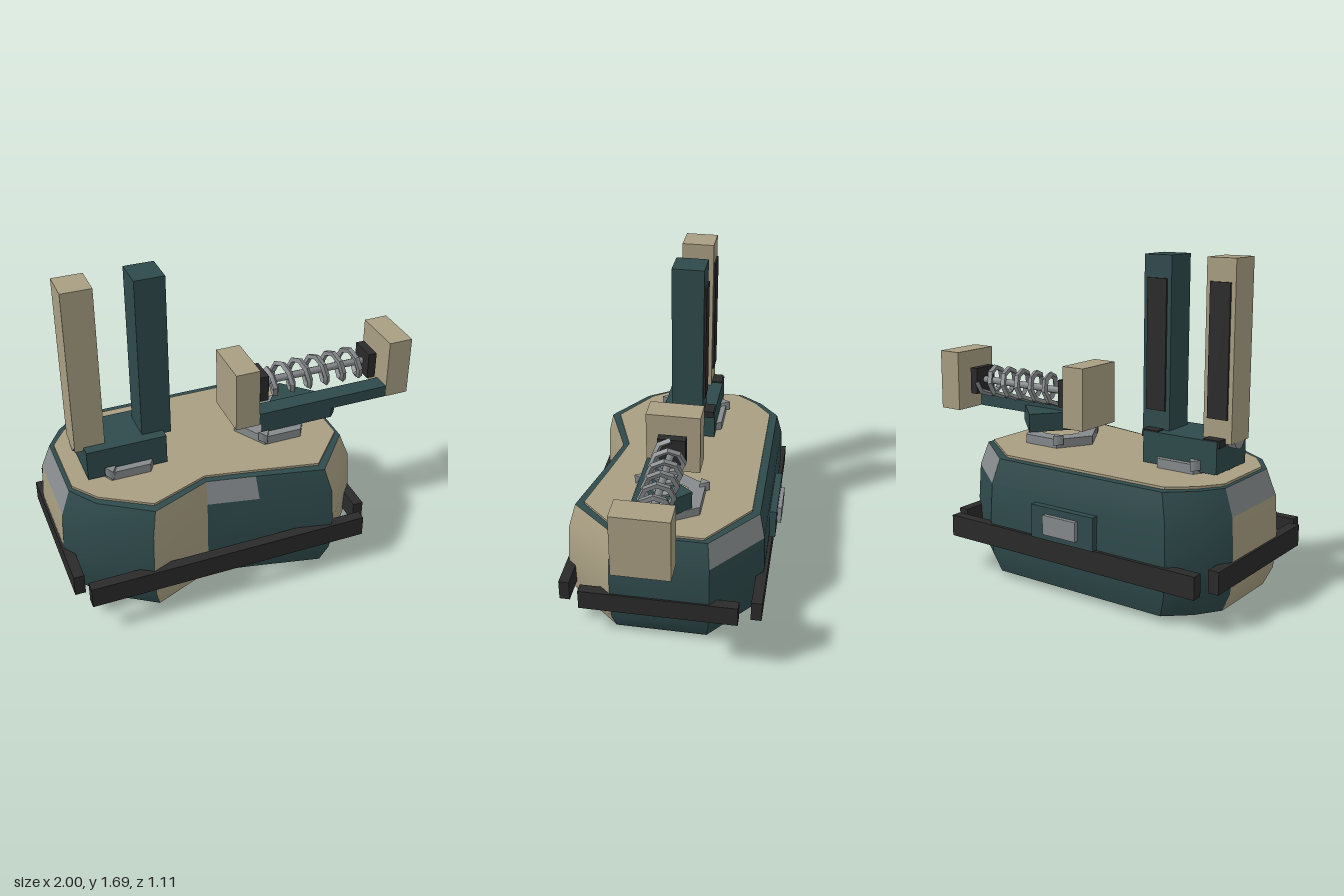
import * as THREE from 'three';
import { toCreasedNormals } from 'three/addons/utils/BufferGeometryUtils.js';

const mat = (name, color) => {
  const m = new THREE.MeshStandardMaterial({ color });
  m.name = name;
  return m;
};

export function createModel() {
  const root = new THREE.Group();
  root.name = 'model';
  const tan = mat('tan', 0xa89e82), teal = mat('dark teal', 0x2f4a4c);
  const grey = mat('grey', 0x868a8c), black = mat('black', 0x2a2a2a);

  const add = (name, geo, material, parent = root) => {
    const mesh = new THREE.Mesh(geo, material);
    mesh.name = name;
    parent.add(mesh);
    return mesh;
  };
  // Box given by its low and high limits on each axis
  const box = (name, material, [x0, x1], [y0, y1], [z0, z1], parent) => {
    const mesh = add(name, new THREE.BoxGeometry(x1 - x0, y1 - y0, z1 - z0), material, parent);
    mesh.position.set((x0 + x1) / 2, (y0 + y1) / 2, (z0 + z1) / 2);
    return mesh;
  };
  // Upright prism over an x,z polygon, with an optional hole
  const prism = (name, material, pts, y0, y1, hole, parent) => {
    const flip = (list) => list.map(([x, z]) => new THREE.Vector2(x, -z));
    const shape = new THREE.Shape(flip(pts));
    if (hole) shape.holes.push(new THREE.Path(flip(hole)));
    const geo = new THREE.ExtrudeGeometry(shape, { depth: y1 - y0, bevelEnabled: false });
    geo.rotateX(-Math.PI / 2).translate(0, y0, 0);
    return add(name, geo, material, parent);
  };
  const hexagon = (cx, cz, r) => Array.from({ length: 6 }, (_, i) =>
    [cx + r * Math.cos(i * Math.PI / 3), cz + r * Math.sin(i * Math.PI / 3)]);

  // Body outline (x, z), with the colour of the wall and of its top band
  const walls = [
    [-0.61, 0.54, tan, tan], [-0.27, 0.4, teal, grey], [0, 0.455, teal, teal],
    [0.38, 0.54, tan, tan], [0.61, 0.27, teal, teal], [0.61, -0.25, teal, grey],
    [0.3, -0.5, teal, teal], [-0.77, -0.5, teal, teal], [-0.9, -0.385, teal, teal],
    [-0.99, -0.25, tan, grey], [-0.99, 0.2, teal, teal], [-0.88, 0.36, teal, teal],
  ];
  const CX = -0.19;
  const scaled = (sx, sz = sx) => walls.map(([x, z]) => [CX + (x - CX) * sx, z * sz]);
  const profile = [[0.03, 0.925], [0.13, 0.985], [0.32, 1], [0.51, 0.985], [0.64, 0.925]];

  // Bulging walls, one mesh for each colour
  const buckets = new Map([[tan, []], [teal, []], [grey, []]]);
  for (let b = 0; b < profile.length - 1; b++) {
    const [y0, s0] = profile[b], [y1, s1] = profile[b + 1];
    const low = scaled(s0), high = scaled(s1);
    walls.forEach((w, i) => {
      const j = (i + 1) % walls.length;
      const A = [low[i][0], y0, low[i][1]], B = [low[j][0], y0, low[j][1]];
      const C = [high[j][0], y1, high[j][1]], D = [high[i][0], y1, high[i][1]];
      buckets.get(b === profile.length - 2 ? w[3] : w[2]).push(...A, ...B, ...C, ...A, ...C, ...D);
    });
  }
  for (const [material, pos] of buckets) {
    const geo = new THREE.BufferGeometry();
    geo.setAttribute('position', new THREE.Float32BufferAttribute(pos, 3));
    add('bodyWalls', toCreasedNormals(geo, 0.6), material);
  }
  prism('bodyRim', teal, scaled(0.925), 0.63, 0.64);
  prism('bodyFloor', teal, scaled(0.925), 0.03, 0.04);
  prism('deck', tan, scaled(0.9, 0.84), 0.64, 0.652);
  prism('bottomPlate', black, scaled(0.74, 0.7), 0.018, 0.03);

  // Hexagonal feet
  for (const [x, z] of [[0.2, 0.165], [-0.19, -0.24], [-0.585, 0.165]])
    prism('foot', grey, hexagon(x, z, 0.145), 0, 0.02, hexagon(x, z, 0.09));

  // Bumper bars
  const bumperY = [0.18, 0.293];
  box('frontBumper', black, [-0.94, 0.56], bumperY, [0.497, 0.553]);
  box('backBumper', black, [-0.94, 0.56], bumperY, [-0.517, -0.46]);
  box('rightBumper', black, [-1, -0.945], bumperY, [-0.4, 0.437]);
  box('leftBumper', black, [0.562, 0.617], bumperY, [-0.4, 0.437]);

  // Rear hatch
  box('hatch', teal, [-0.38, 0], [0.295, 0.465], [-0.532, -0.48]);
  box('hatchPanel', grey, [-0.29, -0.09], [0.33, 0.43], [-0.555, -0.53]);

  // Turntables with clamp studs
  for (const cx of [-0.605, 0.235]) {
    const turntable = new THREE.Group();
    turntable.name = 'turntable';
    root.add(turntable);
    prism('turntableRing', grey, hexagon(cx, 0.02, 0.207), 0.65, 0.7, hexagon(cx, 0.02, 0.11), turntable);
    for (const s of [-1, 1]) {
      const stud = add('stud', new THREE.CylinderGeometry(0.034, 0.034, 0.05, 3), grey, turntable);
      stud.position.set(cx - 0.1, 0.695, 0.02 + s * 0.168);
      stud.rotation.y = s > 0 ? 0 : Math.PI;
    }
  }

  // Upright pillars on their base
  box('pillarBase', teal, [-0.82, -0.4], [0.66, 0.822], [-0.13, 0.16]);
  for (const [x, material] of [[-0.786, tan], [-0.435, teal]]) {
    const pillar = new THREE.Group();
    pillar.name = 'pillar';
    root.add(pillar);
    box('post', material, [x - 0.078, x + 0.078], [0.803, 1.69], [-0.068, 0.105], pillar);
    box('backStrip', black, [x - 0.055, x + 0.055], [0.92, 1.577], [-0.078, -0.067], pillar);
    box('hingeBlock', black, [x - 0.045, x + 0.045], [0.79, 0.828], [-0.125, -0.067], pillar);
    const pin = add('hingePin', new THREE.CylinderGeometry(0.05, 0.05, 0.154, 12), grey, pillar);
    pin.rotation.z = Math.PI / 2;
    pin.position.set(x, 0.815, 0.018);
  }

  // Side arm with its pivot and end blocks
  prism('armPivot', teal, [[0.13, 0.155], [0.54, 0.155], [0.58, 0.11], [0.35, -0.12]], 0.7, 0.8);
  box('armBeam', teal, [0.115, 0.866], [0.757, 0.822], [0.06, 0.158]);
  for (const x of [-0.017, 0.866])
    box('endBlock', tan, [x, x + 0.133], [0.757, 1.09], [-0.125, 0.16]);

  // Spring between two stops
  for (const x of [0.15, 0.785])
    box('springStop', black, [x, x + 0.047], [0.85, 0.998], [-0.06, 0.087]);
  const rod = add('springRod', new THREE.CylinderGeometry(0.02, 0.02, 0.6, 8), grey);
  rod.rotation.z = Math.PI / 2;
  rod.position.set(0.49, 0.925, 0.013);

  const turns = 5.75, steps = 46;
  const coil = new THREE.CatmullRomCurve3(Array.from({ length: steps + 1 }, (_, i) => {
    const a = (i / steps) * turns * Math.PI * 2;
    return new THREE.Vector3(0.21 + 0.57 * i / steps, 0.925 + 0.08 * Math.cos(a), 0.013 + 0.08 * Math.sin(a));
  }));
  add('spring', toCreasedNormals(new THREE.TubeGeometry(coil, steps, 0.017, 4), 0.6), grey);

  return root;
}
